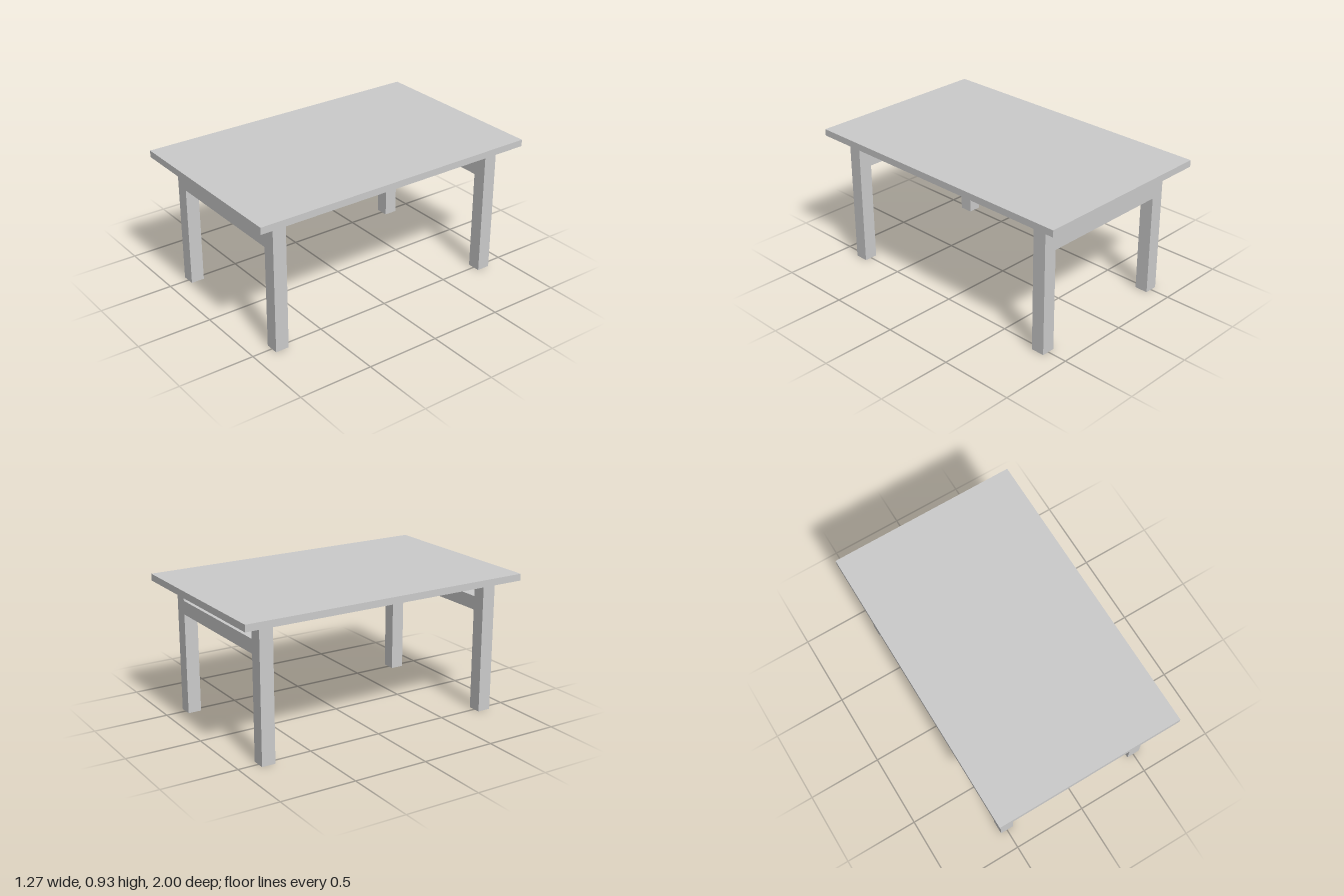
import * as THREE from 'three';

const material = new THREE.MeshStandardMaterial({ color: 0xcccccc, flatShading: true });

// Box with its size and centre
function addBox(parent, name, [w, h, d], [x, y, z]) {
  const mesh = new THREE.Mesh(new THREE.BoxGeometry(w, h, d), material);
  mesh.name = name;
  mesh.position.set(x, y, z);
  parent.add(mesh);
}

export function createModel() {
  const table = new THREE.Group();
  table.name = 'table';

  const height = 0.932, topThickness = 0.045;
  const legHeight = height - topThickness;
  const beam = 0.091;               // square section of legs and rails
  const legX = 0.5, legZ = 0.818;   // leg centres
  const railY = 0.729;

  // Table top
  addBox(table, 'tableTop', [1.27, topThickness, 2], [0, height - topThickness / 2, 0]);

  for (const [end, sz] of [['front', 1], ['back', -1]]) {
    // Legs
    for (const [side, sx] of [['Left', 1], ['Right', -1]]) {
      addBox(table, `${end}${side}Leg`, [beam, legHeight, beam], [sx * legX, legHeight / 2, sz * legZ]);
    }
    // Rail joining the two legs of each end
    addBox(table, `${end}Rail`, [2 * legX - beam, beam, beam], [0, railY, sz * legZ]);
  }

  // Central stretcher between the end rails
  addBox(table, 'stretcher', [beam, beam, 2 * legZ - beam], [0, railY, 0]);

  return table;
}
